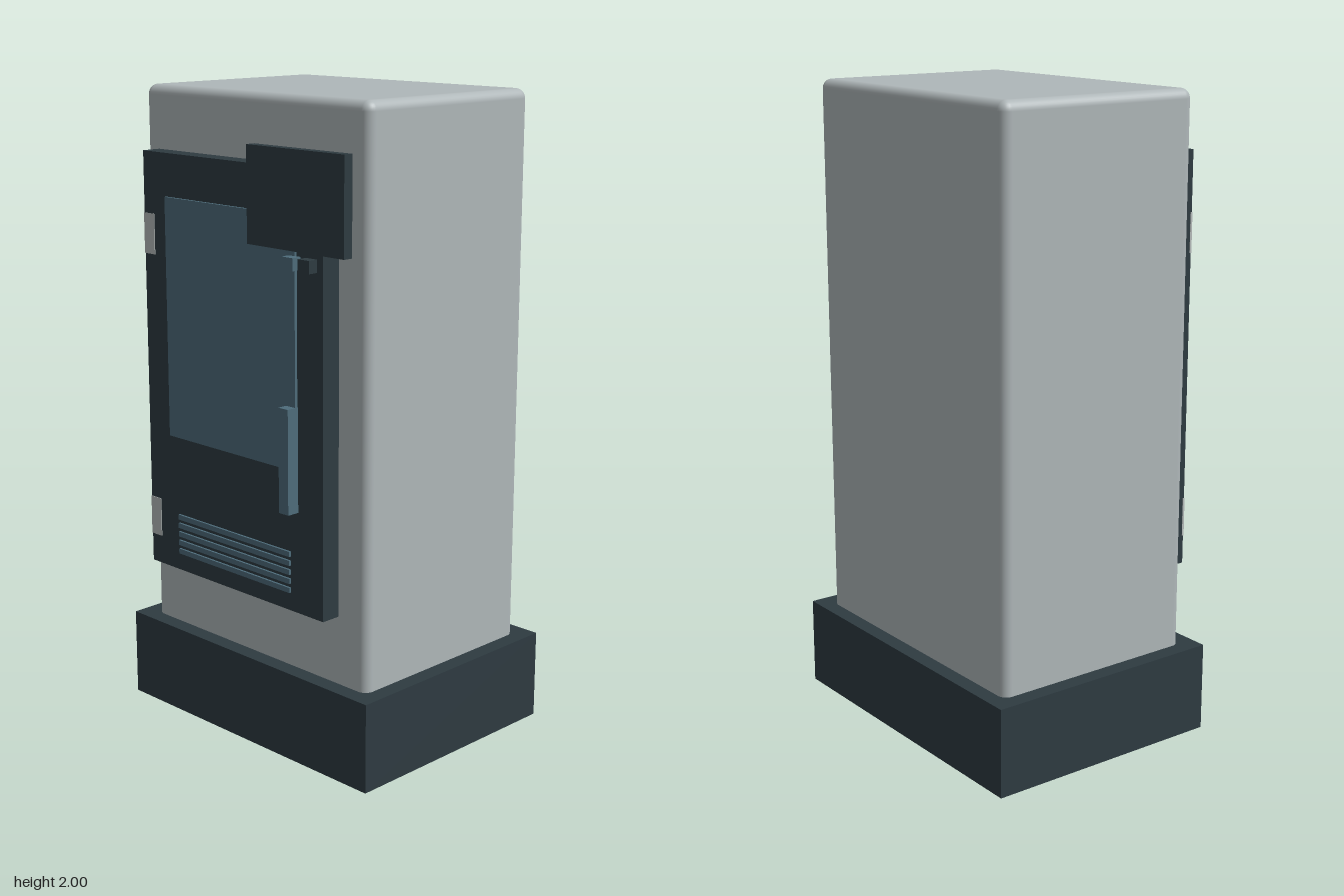
import * as THREE from 'three';
import { RoundedBoxGeometry } from 'three/addons/geometries/RoundedBoxGeometry.js';

const mat = (name, color) => Object.assign(new THREE.MeshStandardMaterial({ color }), { name });

export function createModel() {
  const shell = mat('pale grey shell', 0xafb7b9);
  const dark = mat('dark slate', 0x2e3b41);
  const blue = mat('blue grey glass', 0x4e6c7b);
  const steel = mat('light steel', 0xb6bcbb);
  const model = new THREE.Group();
  model.name = 'cabinet';

  // Box given by its extents on each axis; a radius rounds its edges
  function box(name, material, [x0, x1], [y0, y1], [z0, z1], radius = 0) {
    const size = [x1 - x0, y1 - y0, z1 - z0];
    const geometry = radius
      ? new RoundedBoxGeometry(...size, 4, radius)
      : new THREE.BoxGeometry(...size);
    const mesh = new THREE.Mesh(geometry, material);
    mesh.name = name;
    mesh.position.set((x0 + x1) / 2, (y0 + y1) / 2, (z0 + z1) / 2);
    model.add(mesh);
  }

  // Plinth and rounded housing
  box('base', dark, [-0.527, 0.527], [0, 0.28], [-0.43, 0.358]);
  box('housing', shell, [-0.475, 0.475], [0.24, 2], [-0.38, 0.305], 0.03);

  // Door with window and handle
  box('door', dark, [-0.386, 0.384], [0.505, 1.81], [0.327, 0.39]);
  box('window', blue, [-0.28, 0.28], [0.94, 1.68], [0.39, 0.399]);
  box('handle', blue, [0.243, 0.282], [0.815, 1.13], [0.388, 0.43]);

  // Hinge plates
  for (const y of [0.658, 1.56]) {
    box('hinge', steel, [-0.387, -0.34], [y - 0.062, y + 0.062], [0.385, 0.392]);
  }

  // Vent slats
  for (let i = 0; i < 5; i++) {
    const y = 0.569 + i * 0.028;
    box('ventSlat', blue, [-0.25, 0.25], [y - 0.008, y + 0.008], [0.388, 0.397]);
  }

  // Control panel with two buttons below it
  box('controlPanel', dark, [0.12, 0.505], [1.587, 1.868], [0.4, 0.431]);
  box('leftButton', blue, [0.258, 0.302], [1.53, 1.567], [0.396, 0.428]);
  box('rightButton', dark, [0.323, 0.367], [1.53, 1.567], [0.396, 0.428]);

  return model;
}
